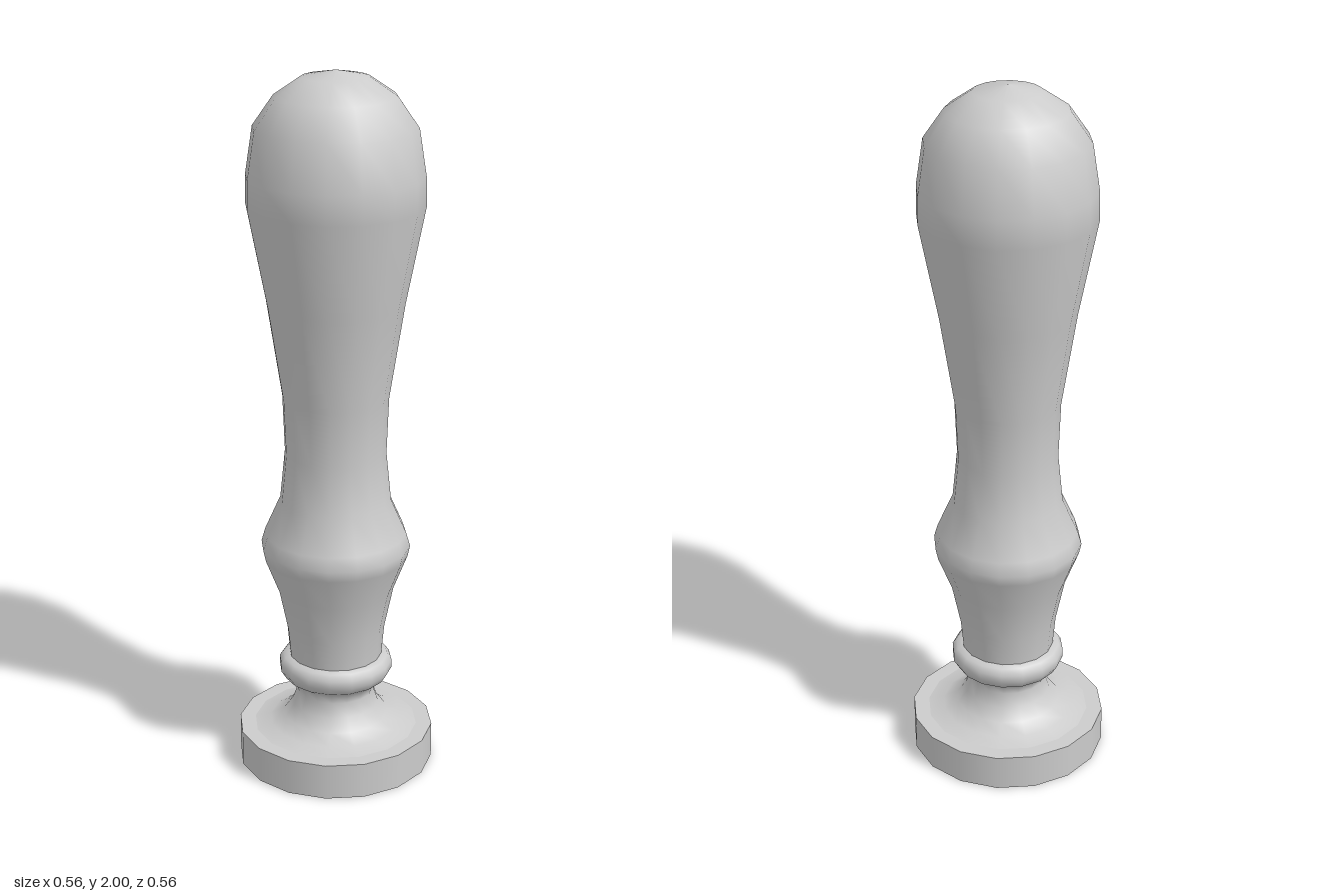
import * as THREE from 'three';
import { mergeGeometries } from 'three/addons/utils/BufferGeometryUtils.js';

const SIDES = 16;
const material = new THREE.MeshStandardMaterial({ color: 0xcccccc });

// Turns one part from [radius, height] profiles; each profile is smooth, with a sharp edge between them
function turned(name, ...profiles) {
  const pieces = profiles.map((profile) =>
    new THREE.LatheGeometry(profile.map(([r, y]) => new THREE.Vector2(r, y)), SIDES));
  const mesh = new THREE.Mesh(mergeGeometries(pieces), material);
  mesh.name = name;
  return mesh;
}

export function createModel() {
  const group = new THREE.Group();
  group.name = 'handStamp';

  // Round foot with a shallow recess underneath
  group.add(turned('base',
    [[0, 0.012], [0.248, 0.012]],
    [[0.248, 0.012], [0.248, 0]],
    [[0.248, 0], [0.28, 0]],
    [[0.28, 0], [0.28, 0.103]],
    [[0.28, 0.103], [0.235, 0.103]],
  ));

  // Flared neck rising into a rounded collar
  group.add(turned('neckAndCollar',
    [[0.235, 0.103], [0.19, 0.113], [0.15, 0.135], [0.124, 0.17], [0.11, 0.21],
      [0.118, 0.238], [0.148, 0.257], [0.162, 0.28], [0.162, 0.303], [0.15, 0.32], [0.13, 0.325]],
  ));

  // Grip: tapered waist, swelling, slim throat and domed bulb
  group.add(turned('handle',
    [[0, 0.322], [0.132, 0.322]],
    [[0.132, 0.322], [0.14, 0.41], [0.165, 0.53], [0.204, 0.63], [0.211, 0.662], [0.2, 0.7],
      [0.156, 0.8], [0.142, 0.94], [0.148, 1.1], [0.19, 1.37], [0.243, 1.64], [0.242, 1.72],
      [0.222, 1.85], [0.165, 1.932], [0.092, 1.982], [0, 2]],
  ));

  return group;
}
